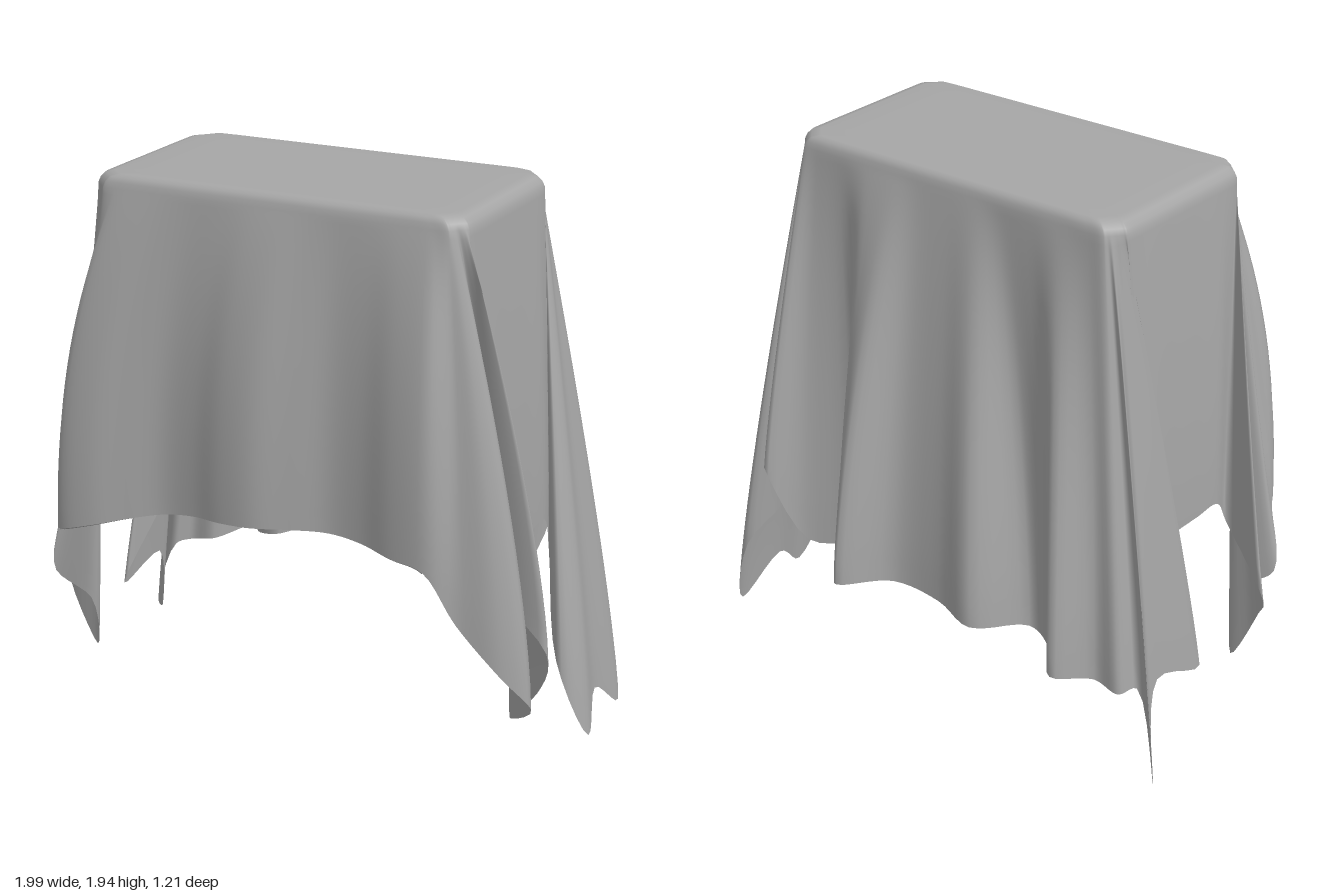
import * as THREE from 'three';

const TOP = 1.945, RIM = 1.9, SUB = 5;
const { lerp } = THREE.MathUtils;
const vec = (x, y, z) => new THREE.Vector3(x, y, z);
const range = (count, make) => Array.from({ length: count }, (_, i) => make(i));

// Front hem: even ripples on a shallow arch
const frontHem = () => range(12, (i) => {
  const x = lerp(-0.78, 0.62, i / 11);
  return vec(x, 0.83 - 0.18 * (x - 0.12) ** 2, 0.56 + 0.04 * Math.cos((x + 0.05) * 9.8));
});

// Side hem: straight and level, walked from z0 to z1
const sideHem = (x, z0, z1) => range(4, (i) => vec(x, 0.76, lerp(z0, z1, i / 3)));

// Back hem: uneven pleats as (x, z) on a shallow arch
const backHem = () => [
  [0.57, -0.39], [0.36, -0.34], [0.29, -0.55], [0.24, -0.61], [0.1, -0.47], [-0.1, -0.46],
  [-0.27, -0.5], [-0.4, -0.33], [-0.5, -0.36], [-0.6, -0.48], [-0.7, -0.36],
].map(([x, z]) => vec(x, 0.465 - 0.2 * (x - 0.15) ** 2, z));

// Corner tails: hem points of the gathered cloth
const frontLeftTail = () => [
  vec(0.72, 0.6, 0.55), vec(0.87, 0.43, 0.52), vec(0.95, 0.3, 0.44), vec(0.79, 0.15, 0.24),
  vec(0.92, 0.3, 0.31), vec(0.99, 0.5, 0.42), vec(0.77, 0.7, 0.37),
];
const backLeftTail = () => [
  vec(0.75, 0.6, -0.18), vec(0.88, 0.3, 0.05), vec(0.99, 0.02, 0), vec(0.95, 0.13, -0.15),
  vec(0.97, 0.01, -0.34), vec(0.88, 0.3, -0.39), vec(0.76, 0.5, -0.29), vec(0.68, 0.73, -0.49),
];
const backRightTail = () => [
  vec(-0.8, 0.3, -0.36), vec(-0.83, 0.3, -0.29), vec(-0.97, 0.01, -0.38), vec(-0.89, 0.04, -0.28),
  vec(-0.85, 0.3, -0.2), vec(-0.87, 0.25, 0.03), vec(-0.76, 0.65, -0.17),
];
const frontRightTail = () => [
  vec(-0.76, 0.65, 0.33), vec(-1, 0.48, 0.21), vec(-0.93, 0.35, 0.3), vec(-0.81, 0.13, 0.32),
  vec(-0.78, 0.35, 0.4), vec(-0.9, 0.45, 0.44), vec(-0.84, 0.66, 0.5),
];

// Surface from rings of points; closed rings join end to start
function loft(rings, closed) {
  const n = rings[0].length, index = [];
  for (let j = 0; j < rings.length - 1; j++) {
    for (let i = 0; i < (closed ? n : n - 1); i++) {
      const k = (i + 1) % n, a = j * n, b = a + n;
      index.push(a + i, b + i, b + k, a + i, b + k, a + k);
    }
  }
  const geometry = new THREE.BufferGeometry().setFromPoints(rings.flat());
  geometry.setIndex(index);
  geometry.computeVertexNormals();
  return geometry;
}

export function createModel() {
  const model = new THREE.Group();
  const cloth = new THREE.MeshStandardMaterial({ color: 0xa6a6a6, side: THREE.DoubleSide });
  cloth.name = 'grey cloth';
  const add = (name, geometry) => {
    const mesh = new THREE.Mesh(geometry, cloth);
    mesh.name = name;
    model.add(mesh);
  };

  // Bevelled rectangle of the rim; each edge carries a stretch of hem and its bulge
  const corners = [[-0.63, 0.47], [0.63, 0.47], [0.69, 0.41], [0.69, -0.2],
    [0.63, -0.27], [-0.63, -0.27], [-0.69, -0.2], [-0.69, 0.41]];
  const stretches = [
    [frontHem(), 2.3], [frontLeftTail(), 1.4], [sideHem(0.77, 0.3, -0.08), 1.5], [backLeftTail(), 1.15],
    [backHem(), 1.4], [backRightTail(), 1.1], [sideHem(-0.77, -0.1, 0.25), 1.5], [frontRightTail(), 0.9],
  ];
  const rimPoints = stretches.flatMap(([hem], k) => {
    const [x0, z0] = corners[k], [x1, z1] = corners[(k + 1) % 8];
    return hem.map((_, i) => {
      const u = (i + 0.5) / hem.length;
      return vec(lerp(x0, x1, u), RIM, lerp(z0, z1, u));
    });
  });
  const bulges = stretches.flatMap(([hem, bulge]) => hem.map(() => bulge));

  // Matching rim and hem loops
  const steps = rimPoints.length * SUB;
  const sample = (points) => {
    const curve = new THREE.CatmullRomCurve3(points, true, 'centripetal');
    return range(steps, (i) => curve.getPoint(i / steps));
  };
  const rim = sample(rimPoints), hem = sample(stretches.flatMap(([points]) => points));

  // Flat top with a rounded edge: (scale, height) from the centre outwards
  const rings = [[0.001, TOP], [0.4, TOP], [0.75, TOP], [0.92, TOP], [0.965, 1.937], [0.988, 1.92]]
    .map(([s, y]) => rim.map((p) => vec(p.x * s, y, lerp(0.1, p.z, s))));

  // Hanging skirt: each stretch flares outwards by its own bulge
  const rows = 22;
  for (let j = 0; j <= rows; j++) {
    const t = (j / rows) ** 1.3;
    rings.push(rim.map((p, i) => {
      const h = hem[i], k = Math.floor(i / SUB);
      const bulge = lerp(bulges[k], bulges[(k + 1) % bulges.length], (i % SUB) / SUB);
      const out = 1 - (1 - t) ** bulge;
      return vec(lerp(p.x, h.x, out), lerp(p.y, h.y, t), lerp(p.z, h.z, out));
    }));
  }
  add('drapedCloth', loft(rings, true));

  // Front hem turned under
  const frontEdge = hem.slice(0, 56);
  add('turnedHem', loft([0, 0.33, 0.67, 1].map((t) => frontEdge.map((p, i) => {
    const depth = 0.07 * Math.sin(Math.PI * i / 55);
    return vec(p.x, p.y - 0.012 * Math.sin(Math.PI * t) + 0.02 * t, p.z - depth * t);
  })), false));

  return model;
}
